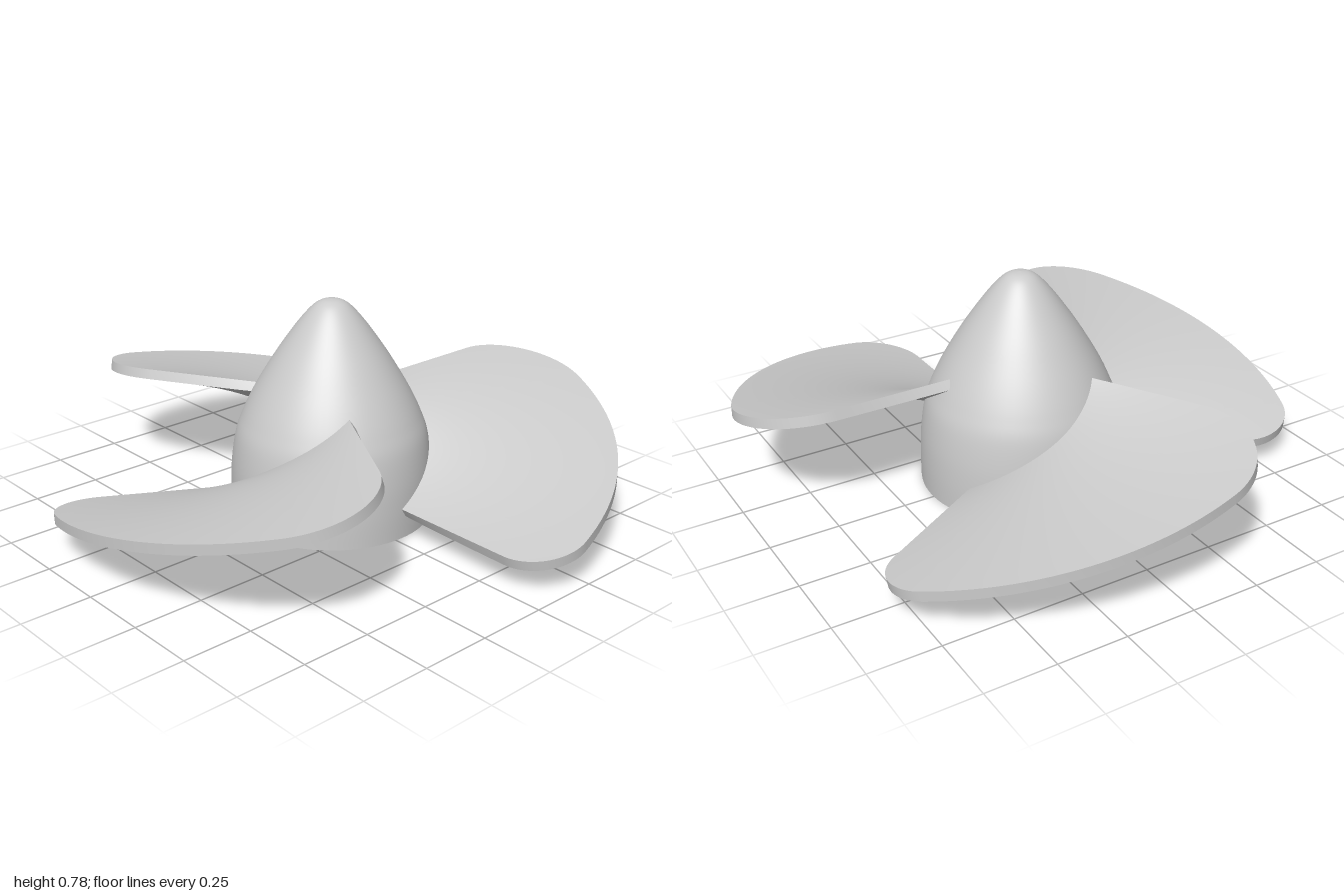
import * as THREE from 'three';

const RIM = 1.005;              // tip radius of the blades
const LOW = 0.11, RISE = 0.333; // height of the low blade edge, climb to the high edge
const SWEEP = Math.PI / 2;
const THICK = 0.036;
const PITCH = RISE / SWEEP;

const material = new THREE.MeshStandardMaterial({ color: 0xcccccc });

function named(name, geometry) {
  const mesh = new THREE.Mesh(geometry, material);
  mesh.name = name;
  return mesh;
}

// Hub silhouette from base to tip
const hubProfile = new THREE.SplineCurve([
  [0.362, 0], [0.362, 0.1], [0.356, 0.2], [0.34, 0.3], [0.315, 0.37], [0.282, 0.44],
  [0.24, 0.515], [0.187, 0.6], [0.12, 0.695], [0.07, 0.753], [0.035, 0.776], [0, 0.782],
].map(([r, y]) => new THREE.Vector2(r, y))).getPoints(66);
hubProfile.forEach((p) => { p.x = Math.max(p.x, 0); });

function hubRadius(y) {
  const i = Math.max(1, hubProfile.findIndex((p) => p.y >= y));
  const a = hubProfile[i - 1], b = hubProfile[i];
  return THREE.MathUtils.mapLinear(y, a.y, b.y, a.x, b.x);
}

// Smooth surface through rows of points
function surface(rows) {
  const n = rows[0].length, index = [];
  for (let i = 0; i < rows.length - 1; i++) {
    for (let j = 0; j < n - 1; j++) {
      const a = i * n + j, b = a + n;
      index.push(a, b, b + 1, a, b + 1, a + 1);
    }
  }
  const geometry = new THREE.BufferGeometry().setFromPoints(rows.flat());
  geometry.setIndex(index);
  geometry.computeVertexNormals();
  return geometry;
}

// Point on the helical blade, pushed down along the surface normal by depth
function bladePoint(r, angle, depth) {
  const c = Math.cos(angle), s = Math.sin(angle);
  const normal = new THREE.Vector3(PITCH * s, r, PITCH * c).normalize();
  return new THREE.Vector3(r * c, LOW + PITCH * angle, -r * s).addScaledVector(normal, -depth);
}

// Blade outline seen from above: quarter circle with two rounded corners
function bladeOutline() {
  const small = 0.17, large = 0.26;
  const along = (f) => Math.sqrt((RIM - f) ** 2 - f * f);
  const t0 = Math.atan2(small, along(small));
  const t1 = SWEEP - Math.atan2(large, along(large));
  const path = new THREE.Path();
  path.absarc(along(small), small, small, -Math.PI / 2, t0, false);
  path.absarc(0, 0, RIM, t0, t1, false);
  path.absarc(large, along(large), large, t1, Math.PI, false);
  return path.getPoints(18).map((p) => ({
    r: p.length(),
    angle: THREE.MathUtils.clamp(Math.atan2(p.y, p.x), 0, SWEEP),
  }));
}

function createBlade() {
  const STEPS = 12;
  const outline = bladeOutline();
  const face = (depth) => Array.from({ length: STEPS + 1 }, (_, i) =>
    outline.map(({ r, angle }) => {
      const inner = hubRadius(LOW + PITCH * angle) - 0.015;
      return bladePoint(THREE.MathUtils.lerp(inner, r, i / STEPS), angle, depth);
    }));
  const top = face(0), bottom = face(THICK);

  // Edge runs out along the low side, round the rim and back along the high side
  const border = (rows) => [
    ...rows.slice(0, -1).map((row) => row[0]),
    ...rows[STEPS],
    ...rows.slice(0, -1).reverse().map((row) => row[row.length - 1]),
  ];

  const blade = new THREE.Group();
  blade.add(
    named('bladeTop', surface(top)),
    named('bladeUnderside', surface([...bottom].reverse())),
    named('bladeEdge', surface([border(top), border(bottom)])),
  );
  return blade;
}

function createHub() {
  const WALL = 0.033, SEGMENTS = 72;
  const inside = hubProfile
    .map((p) => new THREE.Vector2(Math.max(0, p.x - WALL), p.y * 0.95))
    .reverse();
  const rim = [new THREE.Vector2(0.362 - WALL, 0), new THREE.Vector2(0.362, 0)];
  const hub = new THREE.Group();
  hub.name = 'hub';
  hub.add(
    named('hubShell', new THREE.LatheGeometry(hubProfile, SEGMENTS)),
    named('hubInside', new THREE.LatheGeometry(inside, SEGMENTS)),
    named('hubBaseRim', new THREE.LatheGeometry(rim, SEGMENTS)),
  );
  return hub;
}

export function createModel() {
  const model = new THREE.Group();
  model.name = 'propeller';

  const rotor = new THREE.Group();
  rotor.name = 'rotor';
  rotor.position.set(0.005, 0, -0.025);
  rotor.add(createHub());

  // Three equal blades
  for (let i = 0; i < 3; i++) {
    const blade = createBlade();
    blade.name = `blade${i + 1}`;
    blade.rotation.y = (i * Math.PI * 2) / 3;
    rotor.add(blade);
  }

  model.add(rotor);
  return model;
}
